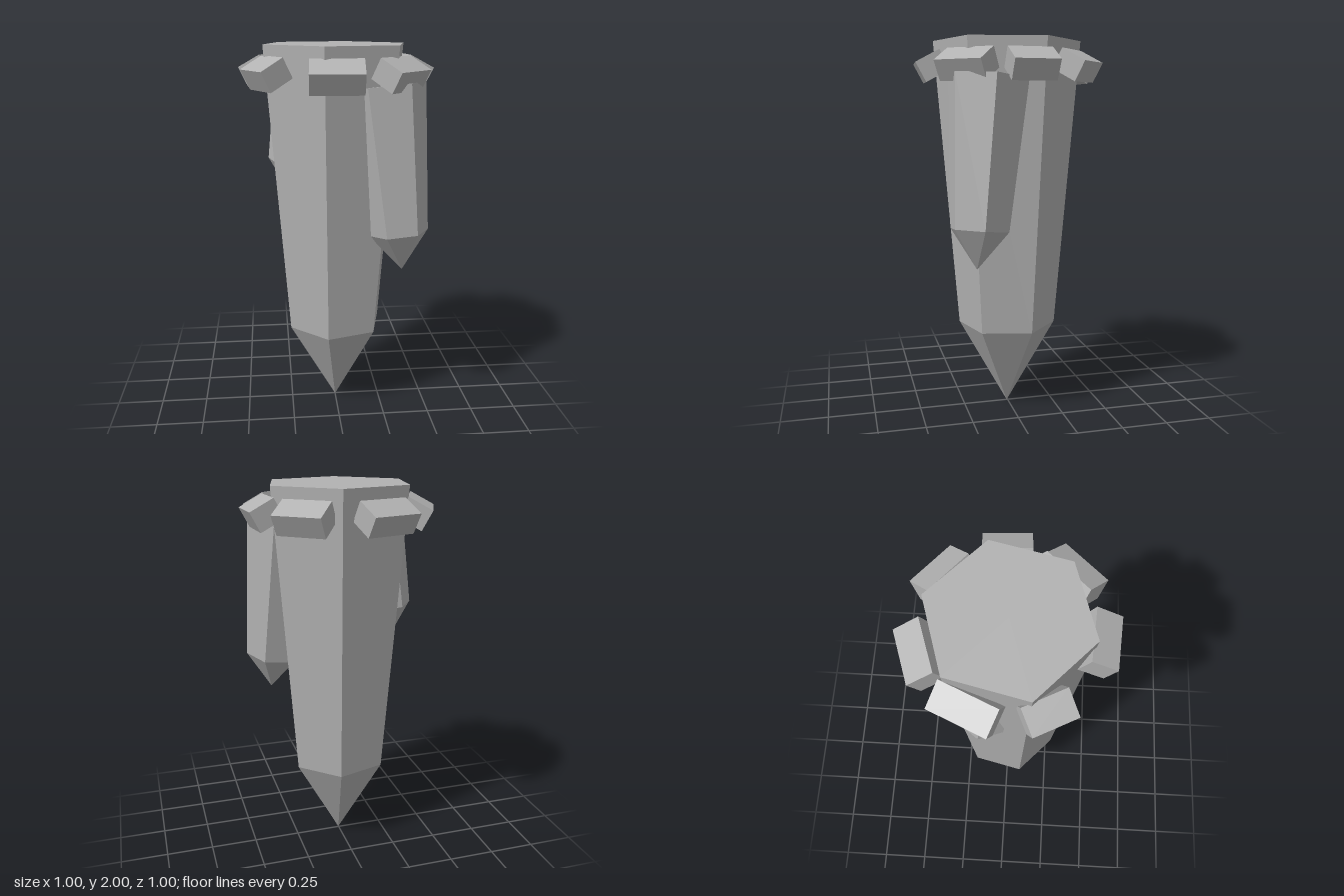
import * as THREE from 'three';

const rad = THREE.MathUtils.degToRad;
const UP = new THREE.Vector3(0, 1, 0);

const stone = new THREE.MeshStandardMaterial({ color: 0xb2b2b2 });
stone.name = 'grey stone';
stone.flatShading = true;

// Six-sided tapering crystal hanging from `top` to its pointed `tip`.
// `azimuth` is the angle of one corner, measured from +x towards +z.
function crystal(name, { top, tip, topRadius, lowRadius, tipLength, azimuth }) {
  const a = new THREE.Vector3(...tip);
  const axis = new THREE.Vector3(...top).sub(a);
  const length = axis.length();
  const profile = [
    [0, 0], [lowRadius, tipLength], [topRadius, length], [0, length],
  ].map(([r, y]) => new THREE.Vector2(r, y));
  const mesh = new THREE.Mesh(new THREE.LatheGeometry(profile, 6, rad(90 - azimuth)), stone);
  mesh.name = name;
  mesh.position.copy(a);
  mesh.quaternion.setFromUnitVectors(UP, axis.normalize());
  return mesh;
}

// Collar block, pitched so its outer end dips; placed by its outer top edge.
function block(azimuth, radius, width) {
  const depth = 0.137, thick = 0.113;
  const geo = new THREE.BoxGeometry(width, thick, depth);
  geo.translate(0, -thick / 2, -depth / 2);
  geo.rotateX(rad(28));
  const mesh = new THREE.Mesh(geo, stone);
  mesh.name = 'collarBlock';
  const t = rad(azimuth);
  mesh.position.set(radius * Math.cos(t), 1.882, radius * Math.sin(t));
  mesh.rotation.y = Math.PI / 2 - t;
  return mesh;
}

export function createModel() {
  const model = new THREE.Group();
  model.name = 'hangingCrystal';

  model.add(
    crystal('mainCrystal', {
      top: [0.003, 2, 0.005], tip: [0, 0, 0.005],
      topRadius: 0.389, lowRadius: 0.265, tipLength: 0.47, azimuth: 43,
    }),
    crystal('largeSideCrystal', {
      top: [0.235, 1.8, 0.155], tip: [0.332, 0.853, 0.238],
      topRadius: 0.212, lowRadius: 0.157, tipLength: 0.2, azimuth: 1,
    }),
    crystal('smallSideCrystal', {
      top: [-0.155, 1.85, -0.08], tip: [-0.25, 1.21, -0.12],
      topRadius: 0.155, lowRadius: 0.13, tipLength: 0.165, azimuth: 188,
    }),
  );

  // Ring of blocks around the top: azimuth, radius of outer edge, width
  const collar = new THREE.Group();
  collar.name = 'collar';
  for (const [azimuth, radius, width] of [
    [-3.5, 0.493, 0.23], [42.8, 0.493, 0.265], [94, 0.491, 0.26], [152.5, 0.487, 0.22],
    [204, 0.48, 0.29], [251.6, 0.483, 0.27], [310.5, 0.486, 0.255],
  ]) collar.add(block(azimuth, radius, width));
  model.add(collar);

  return model;
}
